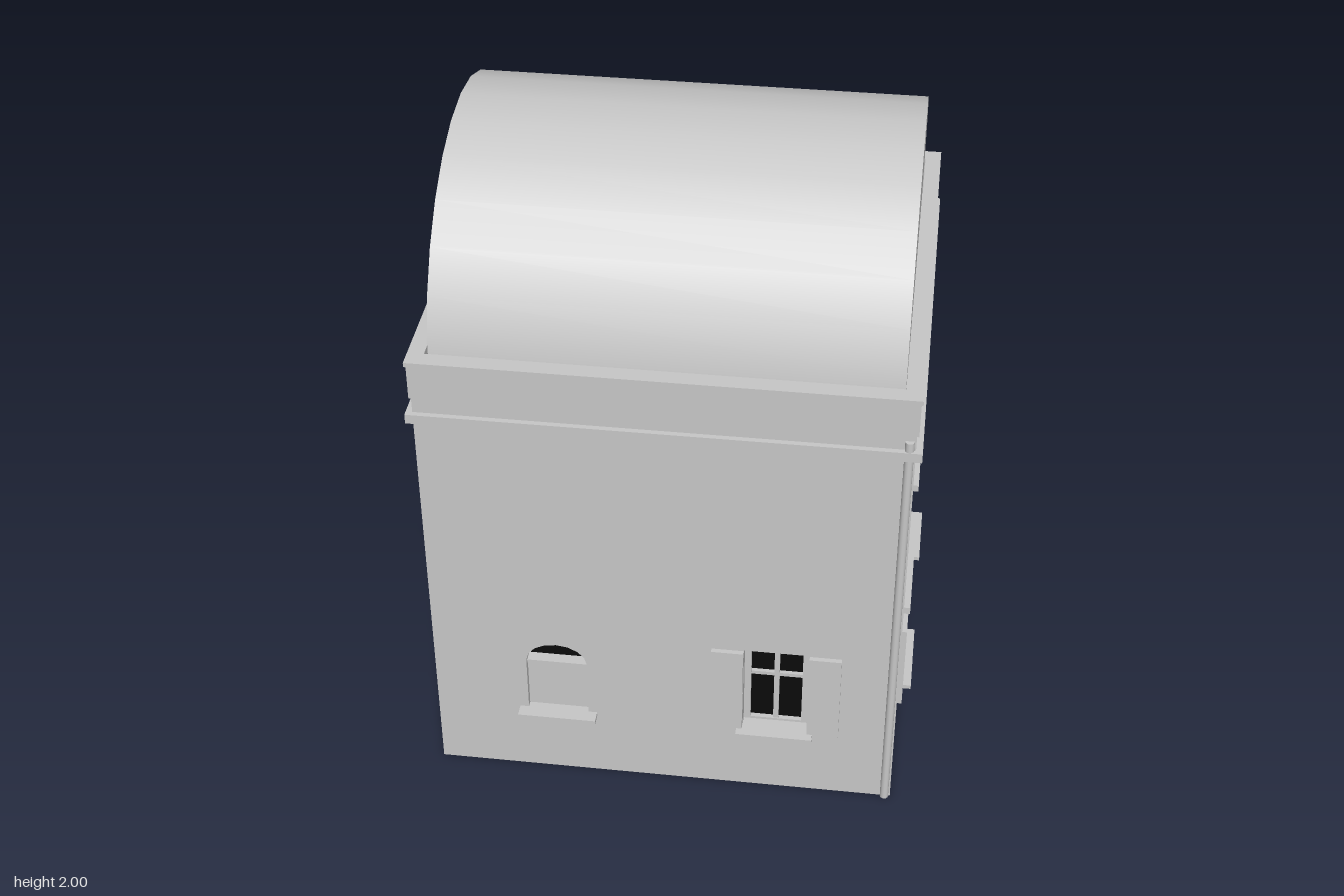
import * as THREE from 'three';

const stone = new THREE.MeshStandardMaterial({ color: 0xc8c8c8 });
stone.name = 'pale stone';
const glass = new THREE.MeshStandardMaterial({ color: 0x0b0b0b });
glass.name = 'dark glass';

const HX = 0.705, HZ = 0.668, CZ = -0.008; // body half sizes and centre
const T = 0.06;                            // wall thickness

function add(parent, name, geometry, material = stone) {
  const m = new THREE.Mesh(geometry, material);
  m.name = name;
  parent.add(m);
  return m;
}

// Box given by its lower and upper corners
function block(parent, name, x0, x1, y0, y1, z0, z1, material = stone) {
  const m = add(parent, name, new THREE.BoxGeometry(x1 - x0, y1 - y0, z1 - z0), material);
  m.position.set((x0 + x1) / 2, (y0 + y1) / 2, (z0 + z1) / 2);
  return m;
}

function rectPath(Kind, x0, x1, y0, y1) {
  return new Kind([[x0, y0], [x1, y0], [x1, y1], [x0, y1]].map(p => new THREE.Vector2(...p)));
}

// Outline with straight sides and a faceted arched head
function archPath(Kind, u, w, y0, spring, top) {
  const pts = [new THREE.Vector2(u - w, y0), new THREE.Vector2(u + w, y0)];
  for (let i = 0; i <= 8; i++) {
    const a = Math.PI * i / 8;
    pts.push(new THREE.Vector2(u + w * Math.cos(a), spring + (top - spring) * Math.sin(a)));
  }
  return new Kind(pts);
}

// Rectangular frame lying flat around the building
function ring(parent, name, ox, oz, ix, iz, y, h) {
  const s = rectPath(THREE.Shape, -ox, ox, -oz, oz);
  s.holes.push(rectPath(THREE.Path, -ix, ix, -iz, iz));
  const g = new THREE.ExtrudeGeometry(s, { depth: h, bevelEnabled: false });
  g.rotateX(-Math.PI / 2);
  add(parent, name, g).position.set(0, y, CZ);
}

// Casement window: panes, frame, sill, shutters and optional lintel
function windowParts(wall, { u, w, top, lintel }) {
  const g = new THREE.Group();
  g.name = 'shutteredWindow';
  g.position.x = u;
  wall.add(g);
  const y0 = 0.242, mid = 0.435, f = 0.02;
  block(g, 'panes', -w, w, y0, top, -0.058, -0.05, glass);
  for (const s of [-1, 1]) {
    const e = s * (w - f / 2);
    block(g, 'frameSide', e - f / 2, e + f / 2, y0, top, -0.05, -0.035);
    const c = s * (w + 0.049);
    block(g, 'shutter', c - 0.048, c + 0.048, y0, top - 0.003, 0, 0.015);
  }
  block(g, 'frameTop', -w, w, top - 0.012, top, -0.05, -0.035);
  block(g, 'frameBottom', -w, w, y0, y0 + 0.012, -0.05, -0.035);
  block(g, 'mullion', -0.008, 0.008, y0, top, -0.05, -0.038);
  block(g, 'transom', -w, w, mid - 0.006, mid + 0.006, -0.05, -0.038);
  block(g, 'sill', -w - 0.018, w + 0.018, 0.232, 0.246, -0.05, 0.04);
  if (lintel) block(g, 'lintel', -w - 0.02, w + 0.02, top + 0.003, top + 0.027, 0, 0.02);
}

// Arched niche: blind panel below, dark lunette above
function nicheParts(wall, { u, w, lintel }) {
  const g = new THREE.Group();
  g.name = 'archedNiche';
  g.position.x = u;
  wall.add(g);
  block(g, 'blindPanel', -w, w, 0.24, 0.42, -0.055, -0.02);
  block(g, 'lunetteLedge', -w, w, 0.418, 0.43, -0.055, -0.012);
  const pane = archPath(THREE.Shape, 0, w, 0.42, 0.44, 0.51);
  add(g, 'lunette', new THREE.ExtrudeGeometry(pane, { depth: 0.008, bevelEnabled: false }), glass)
    .position.z = -0.055;
  block(g, 'sill', -0.12, 0.12, 0.232, 0.245, -0.02, 0.04);
  if (lintel) block(g, 'lintel', -0.12, 0.12, 0.525, 0.549, 0, 0.02);
}

// Wall plate facing local +z with its openings cut through
function wall(parent, name, half, win, niche) {
  const g = new THREE.Group();
  g.name = name;
  parent.add(g);
  const s = rectPath(THREE.Shape, -half, half, 0, 1.395);
  if (win) s.holes.push(rectPath(THREE.Path, win.u - win.w, win.u + win.w, 0.242, win.top));
  if (niche) s.holes.push(archPath(THREE.Path, niche.u, niche.w, 0.24, 0.44, 0.51));
  add(g, 'wallPlate', new THREE.ExtrudeGeometry(s, { depth: T, bevelEnabled: false })).position.z = -T;
  if (win) windowParts(g, win);
  if (niche) nicheParts(g, niche);
  return g;
}

export function createModel() {
  const model = new THREE.Group();
  model.name = 'vaultedHouse';

  // Four walls
  wall(model, 'frontWall', HX, { u: 0.34, w: 0.098, top: 0.555 }, { u: -0.328, w: 0.093 })
    .position.z = CZ + HZ;
  const back = wall(model, 'backWall', HX);
  back.rotation.y = Math.PI;
  back.position.z = CZ - HZ;
  const left = wall(model, 'leftWall', HZ - T,
    { u: -0.29 + CZ, w: 0.113, top: 0.541, lintel: true }, { u: 0.322 + CZ, w: 0.088, lintel: true });
  left.rotation.y = Math.PI / 2;
  left.position.set(HX, 0, CZ);
  const right = wall(model, 'rightWall', HZ - T,
    { u: -0.305 - CZ, w: 0.098, top: 0.541 }, { u: 0.275 - CZ, w: 0.088 });
  right.rotation.y = -Math.PI / 2;
  right.position.set(-HX, 0, CZ);

  // Floor slab and roof deck
  const dx = HX - T, dz = HZ - T;
  block(model, 'floorSlab', -dx, dx, 0, 0.02, CZ - dz, CZ + dz);
  block(model, 'roofDeck', -HX, HX, 1.393, 1.402, CZ - HZ, CZ + HZ);

  // String course, parapet and coping
  ring(model, 'stringCourse', 0.724, 0.684, HX - 0.02, HZ - 0.02, 1.32, 0.03);
  ring(model, 'parapet', 0.711, 0.673, 0.668, 0.627, 1.4, 0.11);
  ring(model, 'coping', 0.716, 0.678, 0.668, 0.627, 1.51, 0.014);

  // Half-round vault
  const vault = new THREE.CylinderGeometry(0.603, 0.603, 1.335, 14, 1, false, 0, Math.PI);
  vault.rotateZ(Math.PI / 2);
  add(model, 'barrelRoof', vault).position.set(-0.002, 1.397, -0.012);

  // Corner drainpipe
  add(model, 'drainpipe', new THREE.CylinderGeometry(0.013, 0.013, 1.38, 12))
    .position.set(0.687, 0.69, 0.662);

  return model;
}
